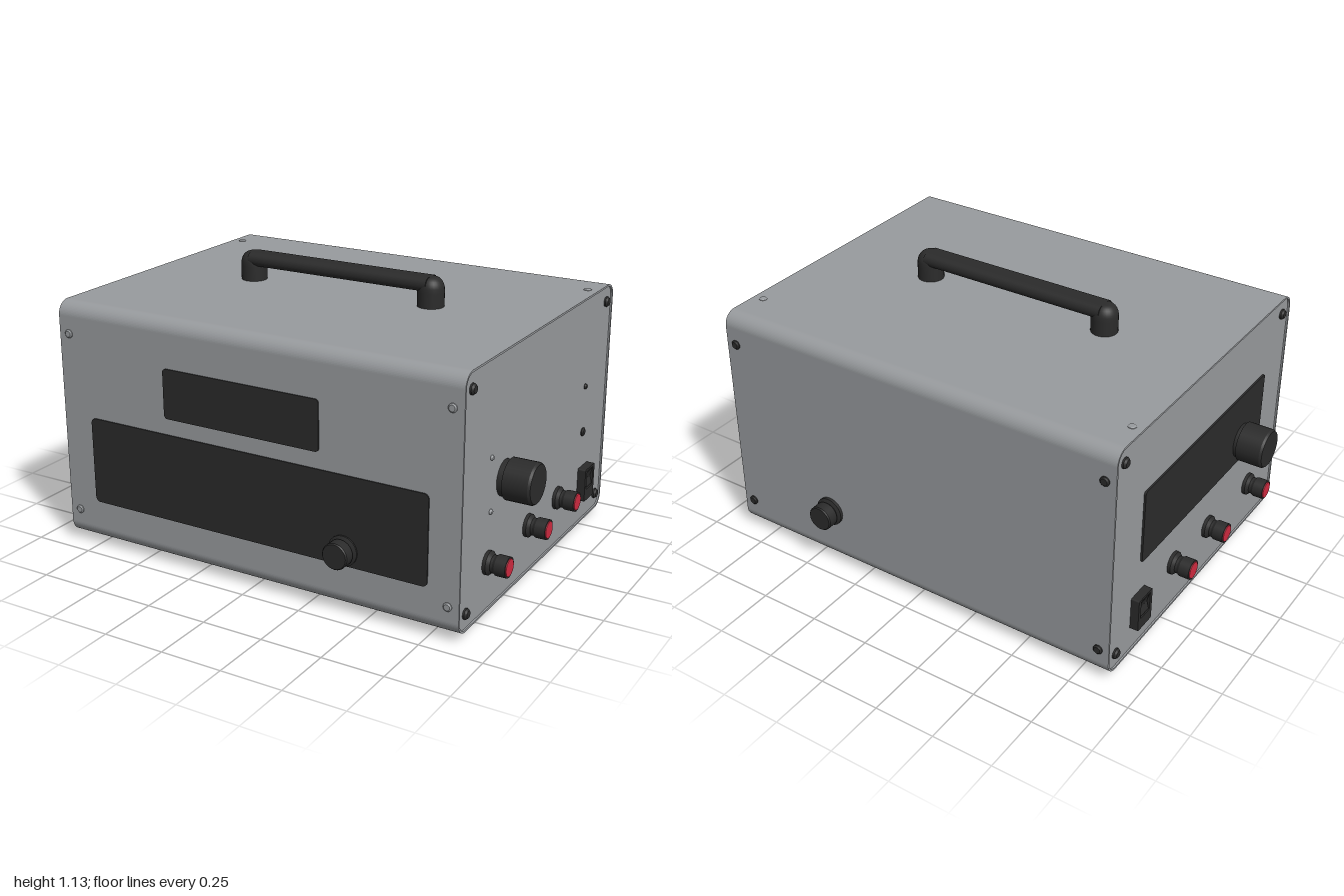
import * as THREE from 'three';

const mat = (name, color) => {
  const m = new THREE.MeshStandardMaterial({ color });
  m.name = name;
  return m;
};

// Rounded rectangle centred on (cx, cy)
function roundRect(T, cx, cy, w, h, r) {
  const s = new T(), x = w / 2, y = h / 2, H = Math.PI / 2;
  s.absarc(cx + x - r, cy + y - r, r, 0, H);
  s.absarc(cx - x + r, cy + y - r, r, H, 2 * H);
  s.absarc(cx - x + r, cy - y + r, r, 2 * H, 3 * H);
  s.absarc(cx + x - r, cy - y + r, r, 3 * H, 4 * H);
  s.closePath();
  return s;
}

export function createModel() {
  const grey = mat('case grey', 0x989b9e);
  const black = mat('black plastic', 0x2b2b2b);
  const red = mat('red cap', 0xd02a40);
  const root = new THREE.Group();

  const add = (name, geo, material, parent = root) => {
    const m = new THREE.Mesh(geo, material);
    m.name = name;
    parent.add(m);
    return m;
  };
  const extrude = (shape, depth) =>
    new THREE.ExtrudeGeometry(shape, { depth, bevelEnabled: false, curveSegments: 8 });

  // Turned part: points are [radius, height]; hard corners come from separate bands
  const turned = (name, pts, material, parent) => {
    const g = new THREE.Group();
    g.name = name;
    for (let i = 0; i < pts.length - 1; i++) {
      const band = pts.slice(i, i + 2).map(p => new THREE.Vector2(...p));
      add(name + 'Surface', new THREE.LatheGeometry(band, 28), material, g);
    }
    parent.add(g);
    return g;
  };
  // Turned parts grow along +y; aim them along another axis
  const up = new THREE.Vector3(0, 1, 0);
  const place = (g, pos, dir) => {
    g.position.set(...pos);
    g.quaternion.setFromUnitVectors(up, new THREE.Vector3(...dir));
    return g;
  };
  const screw = (name, pos, dir, r, h, material) =>
    place(turned(name, [[r, 0], [r, h * 0.5], [r * 0.7, h], [0, h]], material, root), pos, dir);

  // Case: wrapped shell with slightly recessed end plates
  const shell = roundRect(THREE.Shape, 0, 0.52, 1.37, 0.98, 0.055);
  shell.holes.push(roundRect(THREE.Path, 0, 0.52, 1.354, 0.964, 0.047));
  const wrap = extrude(shell, 1.75);
  wrap.rotateY(Math.PI / 2).translate(-0.875, 0, 0.003);
  add('caseShell', wrap, grey);
  const core = extrude(roundRect(THREE.Shape, 0, 0.52, 1.354, 0.964, 0.047), 1.736);
  core.rotateY(Math.PI / 2).translate(-0.868, 0, 0.003);
  add('endPlates', core, grey);

  // Front display panels
  add('lowerFrontPanel', extrude(roundRect(THREE.Shape, 0.005, 0.377, 1.49, 0.355, 0.02), 0.006), black)
    .position.z = 0.687;
  add('upperFrontPanel', extrude(roundRect(THREE.Shape, -0.037, 0.72, 0.685, 0.2, 0.015), 0.006), black)
    .position.z = 0.687;

  // Panel on the right end
  const side = extrude(roundRect(THREE.Shape, 0.02, 0.57, 0.97, 0.31, 0.01), 0.009);
  side.rotateY(-Math.PI / 2).translate(-0.867, 0, 0);
  add('sidePanel', side, black);

  // Knobs on front and back
  for (const s of [1, -1]) {
    place(turned(s > 0 ? 'frontKnob' : 'backKnob',
      [[0.06, 0], [0.06, 0.012], [0.045, 0.018], [0.052, 0.026], [0.052, 0.066], [0.048, 0.071], [0, 0.071]],
      black, root), [0.408, 0.26, s > 0 ? 0.687 : -0.682], [0, 0, s]);
  }

  for (const s of [1, -1]) {
    const dir = [s, 0, 0], x = s * 0.867;
    // Large control knob
    place(turned('largeKnob',
      [[0.07, 0], [0.07, 0.022], [0.08, 0.024], [0.08, 0.124], [0.074, 0.133], [0, 0.133]],
      black, root), [x, 0.512, 0.325], dir);

    // Red-tipped terminals
    for (const [z, y] of [[0.45, 0.225], [0.09, 0.23], [-0.195, 0.237]]) {
      const t = new THREE.Group();
      t.name = 'terminal';
      turned('terminalBody',
        [[0.046, 0], [0.046, 0.014], [0.034, 0.026], [0.034, 0.035], [0.04, 0.045], [0.04, 0.088], [0.034, 0.088]],
        black, t);
      turned('terminalCap', [[0.035, 0.086], [0.033, 0.091], [0, 0.091]], red, t);
      root.add(place(t, [x, y, z], dir));
    }

    // Power socket: frame around two rocker faces
    const frame = roundRect(THREE.Shape, 0, 0, 0.1, 0.14, 0.006);
    frame.holes.push(roundRect(THREE.Path, 0, 0.02, 0.066, 0.08, 0.004));
    const socket = new THREE.Group();
    socket.name = 'powerSocket';
    add('socketFrame', extrude(frame, 0.035), black, socket);
    add('socketBack', new THREE.BoxGeometry(0.07, 0.084, 0.014), black, socket).position.set(0, 0.02, 0.007);
    for (const y of [0.002, 0.04]) {
      const rocker = add('rocker', new THREE.BoxGeometry(0.056, 0.034, 0.02), black, socket);
      rocker.position.set(0, y, 0.02);
      rocker.rotation.x = y > 0.02 ? 0.25 : -0.25;
    }
    socket.position.set(x, 0.21, -0.468);
    socket.rotation.y = s * Math.PI / 2;
    root.add(socket);

    // Corner screws on the end plates
    for (const z of [0.625, -0.622]) for (const y of [0.098, 0.94])
      screw('endScrew', [x, y, z], dir, 0.021, 0.016, black);

    // Screws on the front, back and top
    for (const y of [0.143, 0.885]) {
      screw('frontScrew', [s * 0.83, y, 0.687], [0, 0, 1], 0.017, 0.009, grey);
      screw('backScrew', [s * 0.83, y, -0.681], [0, 0, -1], 0.019, 0.011, black);
    }
    screw('topScrew', [s * 0.83, 1.009, -0.51], up.toArray(), 0.016, 0.006, grey);

    // Rubber feet
    for (const z of [0.447, -0.433])
      place(turned('foot', [[0.063, 0], [0.063, 0.02], [0.055, 0.032], [0.03, 0.032], [0.028, 0.02], [0, 0.02]],
        black, root), [s * 0.64, 0.032, z], [0, -1, 0]);

    // Handle post with a domed top
    const post = [[0.053, 0], [0.053, 0.06]].map(p => new THREE.Vector2(...p));
    for (let i = 1; i <= 8; i++) {
      const a = i / 8 * Math.PI / 2;
      post.push(new THREE.Vector2(0.013 + 0.04 * Math.cos(a), 0.068 + 0.05 * Math.sin(a)));
    }
    post.push(new THREE.Vector2(0, 0.118));
    add('handlePost', new THREE.LatheGeometry(post, 28), black)
      .position.set(-0.008 + s * 0.405, 1.008, 0.013);
  }

  // Indicator dots on the left end
  for (const [z, y, r, m] of [[-0.442, 0.63, 0.011, black], [-0.442, 0.435, 0.018, black],
    [0.445, 0.63, 0.01, grey], [0.44, 0.42, 0.01, grey]])
    screw('indicator', [0.867, y, z], [1, 0, 0], r, 0.01, m);

  // Handle grip
  const grip = extrude(roundRect(THREE.Shape, 0, 1.098, 0.1, 0.056, 0.0275), 0.81);
  grip.rotateY(Math.PI / 2).translate(-0.413, 0, 0.013);
  add('handleGrip', grip, black);

  // Turned bands run base to tip, so show both faces
  for (const m of [grey, black, red]) m.side = THREE.DoubleSide;
  return root;
}
